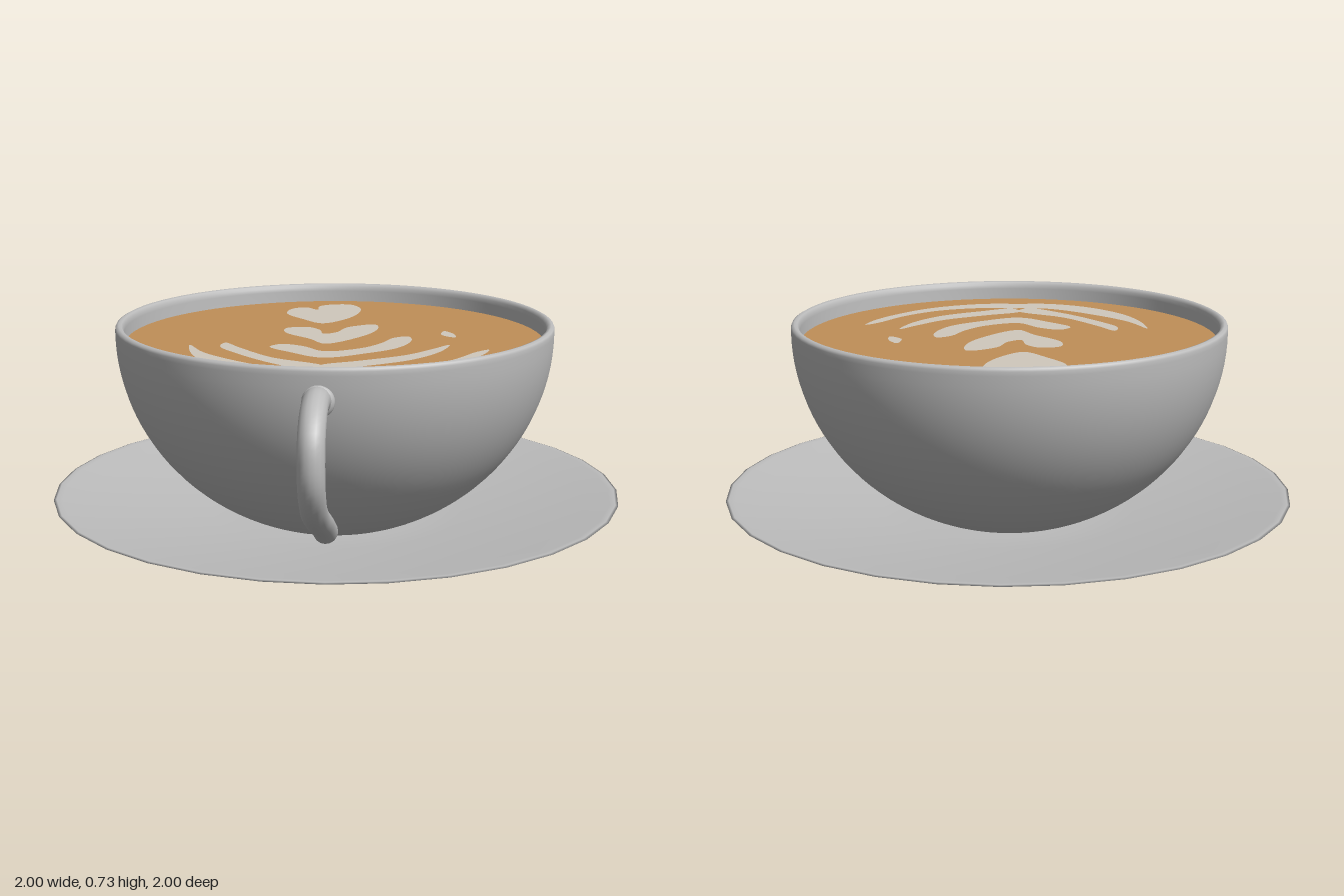
import * as THREE from 'three';

const china = new THREE.MeshStandardMaterial({ color: 0xbcbcbc });
china.name = 'china';
const coffeeBrown = new THREE.MeshStandardMaterial({ color: 0xc08f58 });
coffeeBrown.name = 'coffeeBrown';
const milk = new THREE.MeshStandardMaterial({ color: 0xd0c8bc });
milk.name = 'milk';

function add(parent, name, geometry, material) {
  const mesh = new THREE.Mesh(geometry, material);
  mesh.name = name;
  parent.add(mesh);
  return mesh;
}

const lathe = (points, segments) =>
  new THREE.LatheGeometry(points.map(([r, y]) => new THREE.Vector2(r, y)), segments);

// Elliptical bowl wall, traced between two angles below the rim
function bowlArc(radius, depth, from, to, steps) {
  const points = [];
  for (let i = 0; i <= steps; i++) {
    const a = from + ((to - from) * i) / steps;
    points.push([radius * Math.cos(a), 0.7 - depth * Math.sin(a)]);
  }
  return points;
}

// Foam patterns: closed curves given as x, z pairs
const foam = {
  upperHeart: [-.38, -.48, -.32, -.53, -.25, -.5, -.19, -.41, -.16, -.29, -.18, -.165,
    -.29, -.19, -.4, -.24, -.445, -.33, -.42, -.385, -.355, -.37, -.39, -.43],
  middleHeart: [-.015, -.26, .04, -.2, .07, -.07, .04, .12, -.05, .085, -.19, .045,
    -.235, -.025, -.185, -.08, -.12, -.065, -.065, -.015, -.045, -.065, -.065, -.16],
  chevron: [.2, -.15, .25, -.1, .28, .03, .245, .16, .165, .305, .03, .3, -.085, .27,
    -.08, .21, 0, .195, .11, .22, .18, .11, .19, 0, .175, -.1],
  innerRightLeaf: [.395, -.115, .43, 0, .42, .165, .35, .325, .29, .43, .225, .4,
    .29, .27, .365, .11, .385, -.02],
  innerLeftLeaf: [-.25, .305, -.16, .34, .03, .4, .235, .4, .24, .475, .085, .47,
    -.105, .42, -.225, .365],
  outerRightLeaf: [.545, -.125, .57, -.05, .575, .08, .54, .27, .43, .445, .31, .515,
    .265, .46, .38, .38, .485, .245, .53, .08, .53, -.07],
  outerLeftLeaf: [-.325, .405, -.21, .47, -.025, .51, .165, .51, .27, .46, .325, .5,
    .245, .58, .085, .62, -.105, .585, -.24, .5],
  droplet: [.255, -.305, .31, -.28, .345, -.23, .285, -.24],
};

function foamGeometry(pairs) {
  const points = [];
  for (let i = 0; i < pairs.length; i += 2) {
    points.push(new THREE.Vector3(pairs[i], -pairs[i + 1], 0));
  }
  const curve = new THREE.CatmullRomCurve3(points, true, 'centripetal');
  const outline = curve.getPoints(points.length * 5).slice(0, -1);
  const shape = new THREE.Shape(outline.map((p) => new THREE.Vector2(p.x, p.y)));
  return new THREE.ShapeGeometry(shape).rotateX(-Math.PI / 2);
}

export function createModel() {
  const model = new THREE.Group();
  model.name = 'cupAndSaucer';

  // Shallow saucer with a thin rolled edge
  add(model, 'saucer', lathe([
    [0, 0], [0.29, 0], [0.45, 0.018], [0.7, 0.056], [0.9, 0.092], [0.985, 0.108], [1, 0.114],
    [0.99, 0.117], [0.97, 0.115], [0.88, 0.099], [0.7, 0.07], [0.45, 0.036], [0.3, 0.025], [0, 0.025],
  ], 32), china);

  // Cup sits slightly off the saucer's centre
  const cup = new THREE.Group();
  cup.name = 'cup';
  cup.position.set(0.005, 0, 0.015);
  model.add(cup);

  const outer = bowlArc(0.76, 0.72, 1.2, 0, 24);
  const inner = bowlArc(0.73, 0.67, 0, Math.PI / 2, 24);
  add(cup, 'bowl', lathe([
    [0, 0.028], ...outer,
    [0.76, 0.714], [0.757, 0.722], [0.748, 0.727], [0.738, 0.724], [0.732, 0.714],
    ...inner.slice(0, -1), [0, 0.03],
  ], 72), china);

  // Coffee surface and foam art
  const coffee = add(cup, 'coffee', new THREE.CircleGeometry(0.73, 72).rotateX(-Math.PI / 2), coffeeBrown);
  coffee.position.y = 0.66;
  const art = new THREE.Group();
  art.name = 'foamArt';
  art.position.y = 0.664;
  model.add(art);
  for (const [name, pairs] of Object.entries(foam)) add(art, name, foamGeometry(pairs), milk);

  // Handle, drawn along +x and then swung to the front left
  const handle = new THREE.Group();
  handle.name = 'handle';
  handle.rotation.y = -1.013;
  cup.add(handle);
  const path = new THREE.CatmullRomCurve3([
    [0.745, 0.61], [0.79, 0.632], [0.87, 0.642], [0.96, 0.62], [1.02, 0.565], [1.035, 0.49],
    [1.02, 0.42], [0.96, 0.345], [0.83, 0.27], [0.63, 0.185], [0.46, 0.105],
  ].map(([r, y]) => new THREE.Vector3(r, y, 0)));
  add(handle, 'handleBar', new THREE.TubeGeometry(path, 60, 0.042, 16), china);
  const joint = add(handle, 'handleJoint', new THREE.SphereGeometry(0.052, 20, 14), china);
  joint.position.set(0.757, 0.62, 0);
  joint.scale.x = 0.55;

  return model;
}
